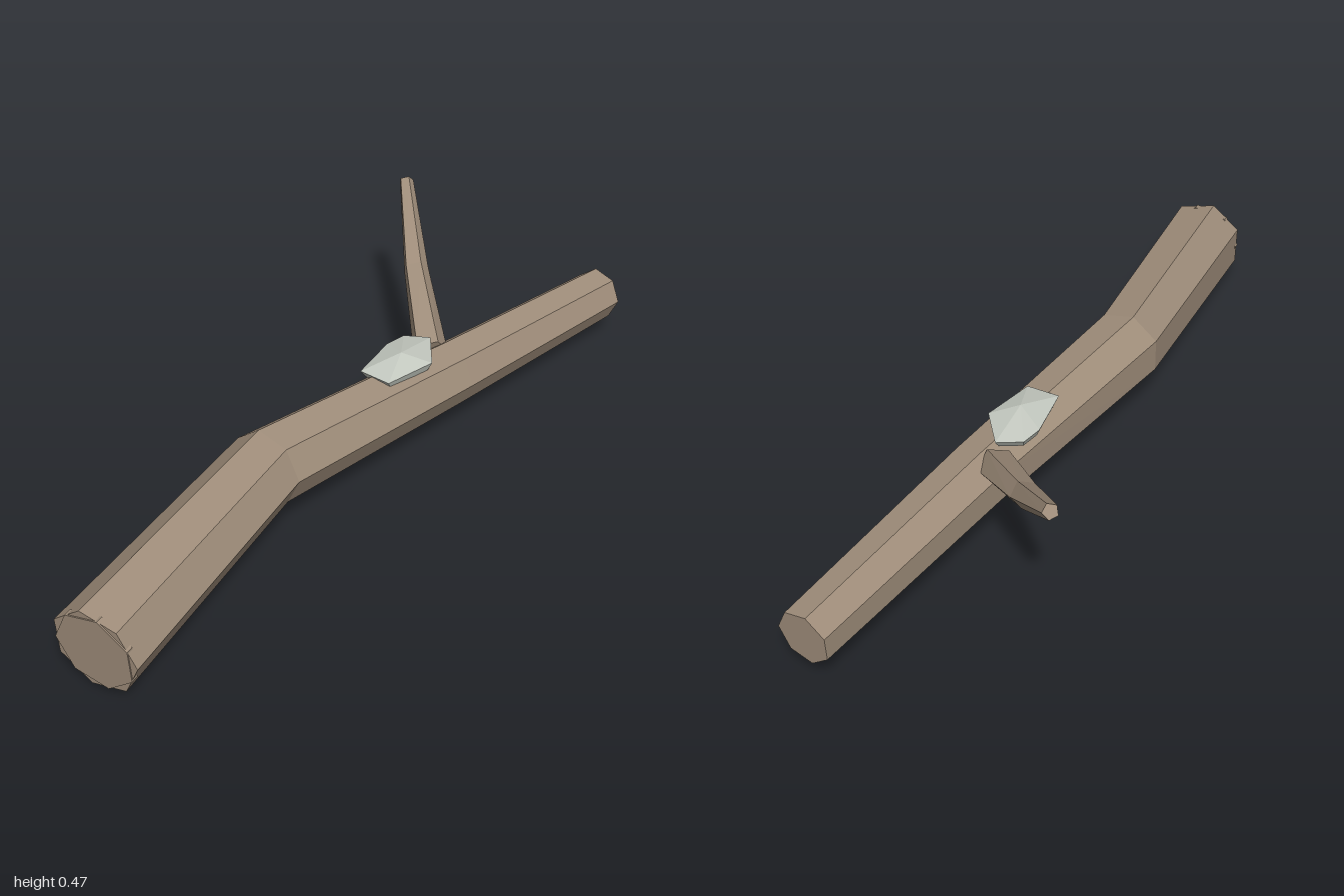
import * as THREE from 'three';

const V = (x, y, z) => new THREE.Vector3(x, y, z);

// Closed faceted solid through matching rings, ending in a fan around each cap point
function loft(name, rings, startPoint, endPoint, material) {
  const n = rings[0].length, pos = [];
  const tri = (...pts) => pts.forEach(p => pos.push(p.x, p.y, p.z));
  for (let k = 0; k < n; k++) {
    const m = (k + 1) % n;
    for (let i = 0; i < rings.length - 1; i++) {
      const [a, b] = [rings[i], rings[i + 1]];
      tri(a[k], b[k], a[m]);
      tri(a[m], b[k], b[m]);
    }
    const last = rings[rings.length - 1];
    tri(startPoint, rings[0][k], rings[0][m]);
    tri(endPoint, last[m], last[k]);
  }
  const geo = new THREE.BufferGeometry();
  geo.setAttribute('position', new THREE.Float32BufferAttribute(pos, 3));
  geo.computeVertexNormals(); // unshared corners give flat facets
  const mesh = new THREE.Mesh(geo, material);
  mesh.name = name;
  return mesh;
}

// Tapered limb along a bent path, with rings square to the path
function limb(name, path, radii, sides, phase, material) {
  const rings = path.map((c, i) => {
    const d = V(0, 0, 0);
    if (i > 0) d.add(c.clone().sub(path[i - 1]).normalize());
    if (i < path.length - 1) d.add(path[i + 1].clone().sub(c).normalize());
    d.normalize();
    const u = V(0, 0, 1).addScaledVector(d, -d.z).normalize();
    const v = u.clone().cross(d);
    return Array.from({ length: sides }, (_, k) => {
      const a = phase + (k / sides) * Math.PI * 2;
      return c.clone()
        .addScaledVector(u, Math.cos(a) * radii[i])
        .addScaledVector(v, Math.sin(a) * radii[i]);
    });
  });
  return loft(name, rings, path[0], path[path.length - 1], material);
}

export function createModel() {
  const group = new THREE.Group();
  group.name = 'fallenLog';
  const bark = new THREE.MeshStandardMaterial({ color: 0xa08e7b });
  bark.name = 'bark brown';
  const pale = new THREE.MeshStandardMaterial({ color: 0xc4c9c0 });
  pale.name = 'pale grey';

  // Seven-sided trunk
  const trunk = [V(-0.98, 0.118, 0.145), V(-0.29, 0.18, 0.055), V(0.35, 0.156, 0.14), V(0.99, 0.126, 0.207)];
  group.add(limb('trunk', trunk, [0.116, 0.102, 0.086, 0.073], 7, 0, bark));

  // Butt disc whose corners break through the middle of each trunk side
  const dir = trunk[1].clone().sub(trunk[0]).normalize();
  const disc = [-0.003, 0.017].map(t => trunk[0].clone().addScaledVector(dir, t));
  group.add(limb('buttDisc', disc, [0.107, 0.107], 7, Math.PI / 7, bark));

  // Five-sided side branch
  const branch = [V(0.34, 0.205, 0.085), V(0.515, 0.312, -0.095), V(0.69, 0.455, -0.262)];
  group.add(limb('branch', branch, [0.048, 0.035, 0.02], 5, 0.82, bark));

  // Faceted pale patch lying on the trunk
  const outline = [[0.085, 0.05], [0.23, 0.025], [0.29, 0.035], [0.325, 0.095], [0.23, 0.17], [0.085, 0.14]];
  const ring = (y, s) => outline.map(([x, z]) => V(0.2 + (x - 0.2) * s, y, 0.1 + (z - 0.1) * s));
  group.add(loft('palePatch', [ring(0.238, 0.86), ring(0.261, 1)], V(0.2, 0.225, 0.1), V(0.19, 0.285, 0.1), pale));

  return group;
}
